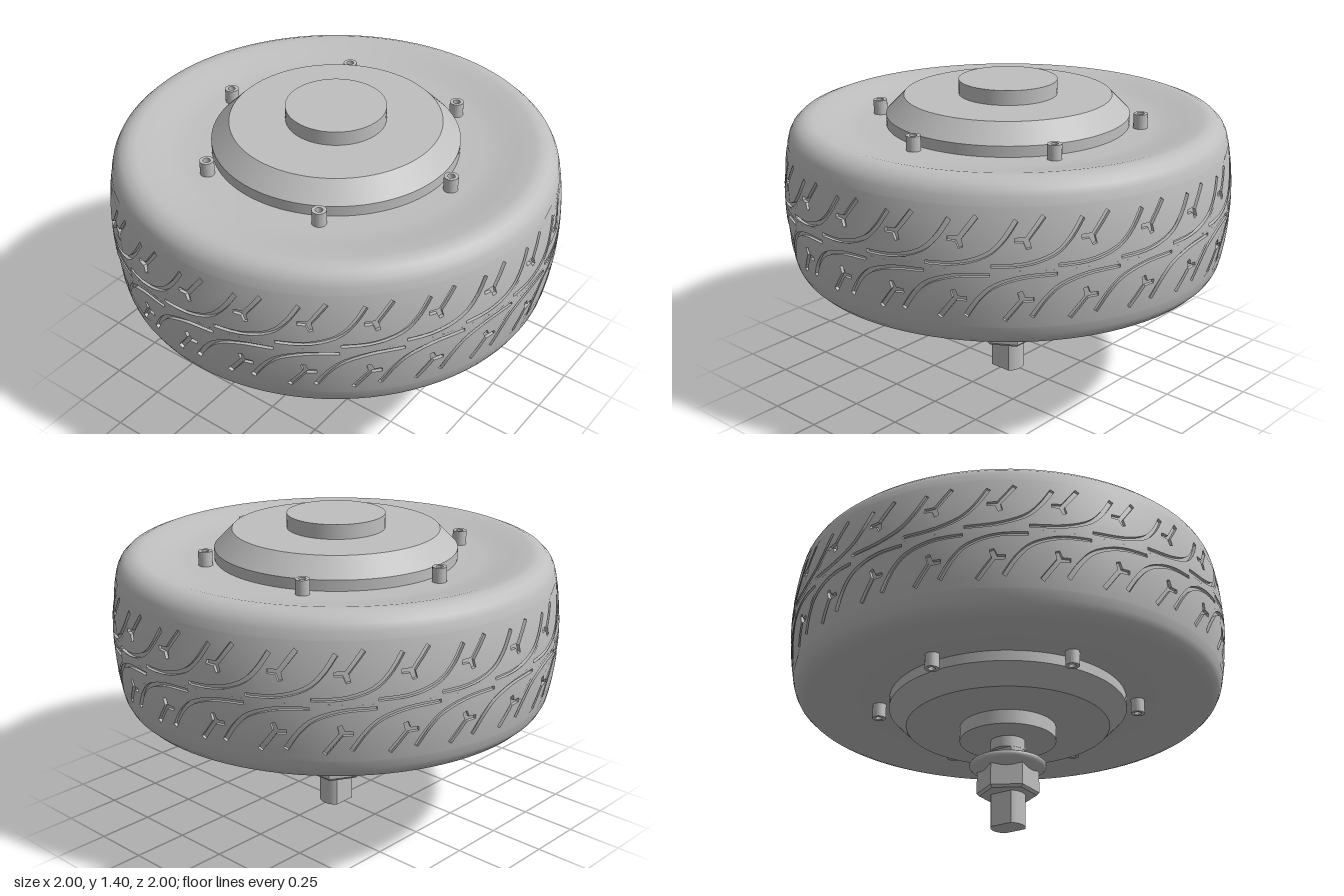
import * as THREE from 'three';
import { mergeGeometries } from 'three/addons/utils/BufferGeometryUtils.js';

const MID = 0.905;              // height of the wheel's mid plane
const REPEATS = 24;
const PITCH = (Math.PI * 2) / REPEATS;
const GROOVE_DEPTH = 0.014;
const TREAD_TOP = 0.25;

const V = (x, y) => new THREE.Vector2(x, y);
const treadRadius = (y) => 1 - 0.4 * y * y;

// Wrap a point of the unrolled tread (angle, height) onto the tyre
const wrap = (u, y, depth = 0) => {
  const r = treadRadius(y) - depth;
  return [r * Math.sin(u), y, r * Math.cos(u)];
};

// Wrap a flat shape onto the tyre with smooth normals
function wrapShape(shape, depth) {
  const g = new THREE.ShapeGeometry(shape).toNonIndexed();
  g.deleteAttribute('uv');
  const p = g.attributes.position, n = g.attributes.normal;
  for (let i = 0; i < p.count; i++) {
    const u = p.getX(i), y = p.getY(i);
    const k = 1 / Math.hypot(1, 0.8 * y);
    p.setXYZ(i, ...wrap(u, y, depth));
    n.setXYZ(i, Math.sin(u) * k, 0.8 * y * k, Math.cos(u) * k);
  }
  return g;
}

// Side walls of a groove
function grooveWalls(loop) {
  const pos = [];
  loop.forEach((a, i) => {
    const b = loop[(i + 1) % loop.length];
    const aT = wrap(a.x, a.y), bT = wrap(b.x, b.y);
    const aB = wrap(a.x, a.y, GROOVE_DEPTH), bB = wrap(b.x, b.y, GROOVE_DEPTH);
    pos.push(...aT, ...bT, ...bB, ...aT, ...bB, ...aB);
  });
  const g = new THREE.BufferGeometry();
  g.setAttribute('position', new THREE.Float32BufferAttribute(pos, 3));
  g.computeVertexNormals();
  return g;
}

// Outline of a curved groove that widens along its length
function ribbon(points, w0, w1, steps) {
  const curve = new THREE.SplineCurve(points);
  const low = [], high = [];
  for (let i = 0; i <= steps; i++) {
    const t = i / steps, p = curve.getPoint(t), d = curve.getTangent(t);
    const w = w0 + (w1 - w0) * t;
    low.push(V(p.x + d.y * w, p.y - d.x * w));
    high.unshift(V(p.x - d.y * w, p.y + d.x * w));
  }
  return [...low, ...high];
}

// One repeat of the upper half of the tread, with its recessed grooves
function treadTile() {
  const side = [[-0.16, 0], [-0.15, 0.03], [-0.1, 0.07], [-0.056, 0.115],
    [-0.03, 0.16], [0, 0.2], [0, TREAD_TOP]].map(([x, y]) => V(x, y));
  const outline = [];
  for (let i = 0; i < 6; i++) outline.push(V(-0.16 + (PITCH * i) / 6, 0));
  side.forEach((p) => outline.push(V(p.x + PITCH, p.y)));
  for (let i = 3; i > 0; i--) outline.push(V((PITCH * i) / 4, TREAD_TOP));
  side.slice(1).reverse().forEach((p) => outline.push(p));

  const sweep = ribbon([[-0.39, 0.018], [-0.26, 0.026], [-0.15, 0.062], [-0.085, 0.12], [-0.032, 0.2]]
    .map(([x, y]) => V(x + PITCH, y)), 0.007, 0.01, 14);
  const fork = [[-0.038, 0.132], [-0.038, 0.114], [-0.004, 0.114], [0.008, 0.086], [0.026, 0.092],
    [0.018, 0.122], [0.051, 0.165], [0.084, 0.208], [0.068, 0.22], [0.036, 0.177], [0.004, 0.134]]
    .map(([x, y]) => V(x, y));

  const shape = new THREE.Shape(outline);
  const parts = [];
  for (const loop of [sweep, fork]) {
    shape.holes.push(new THREE.Path(loop));
    parts.push(grooveWalls(loop), wrapShape(new THREE.Shape(loop), GROOVE_DEPTH));
  }
  parts.push(wrapShape(shape, 0));
  return mergeGeometries(parts);
}

export function createModel() {
  const grey = new THREE.MeshStandardMaterial({ color: 0xbfbfbf });
  grey.name = 'grey';
  const model = new THREE.Group();
  model.name = 'hubMotorWheel';

  const add = (parent, name, geometry, y = 0) => {
    const m = new THREE.Mesh(geometry, grey);
    m.name = name;
    m.position.y = y;
    parent.add(m);
    return m;
  };
  const drum = (parent, name, rTop, rBottom, y0, y1, sides = 64) =>
    add(parent, name, new THREE.CylinderGeometry(rTop, rBottom, y1 - y0, sides), (y0 + y1) / 2);

  // Shared geometry of the two wheel halves
  const tile = treadTile();
  const tread = mergeGeometries(Array.from({ length: REPEATS }, (_, i) => tile.clone().rotateY(i * PITCH)));
  const sidewall = new THREE.LatheGeometry([
    V(0.975, TREAD_TOP), V(0.966, 0.285), V(0.952, 0.312), V(0.928, 0.335), V(0.895, 0.348),
    V(0.86, 0.348), V(0.79, 0.333), V(0.72, 0.318), V(0.65, 0.308), V(0.5, 0.306),
  ], REPEATS * 4);
  const ring = new THREE.Shape().absarc(0, 0, 0.031, 0, Math.PI * 2);
  ring.holes.push(new THREE.Path().absarc(0, 0, 0.016, 0, Math.PI * 2));
  const boltRing = new THREE.ExtrudeGeometry(ring, { depth: 0.03, bevelEnabled: false, curveSegments: 10 })
    .rotateX(-Math.PI / 2);

  // Upper half and its turned-over twin
  for (const [name, turn] of [['upperHalf', 0], ['lowerHalf', Math.PI]]) {
    const half = new THREE.Group();
    half.name = name;
    half.position.y = MID;
    half.rotation.z = turn;
    model.add(half);
    add(half, 'tread', tread);
    add(half, 'sidewall', sidewall);
    drum(half, 'hubRim', 0.54, 0.54, 0.28, 0.354, 96);
    drum(half, 'hubCone', 0.46, 0.54, 0.354, 0.435, 96);
    drum(half, 'hubCap', 0.218, 0.218, 0.43, 0.5);
    for (let i = 0; i < 6; i++) {
      const bolt = new THREE.Group();
      bolt.name = 'bolt';
      const a = (i * Math.PI) / 3;
      bolt.position.set(0.59 * Math.cos(a), 0, 0.59 * Math.sin(a));
      half.add(bolt);
      drum(bolt, 'boltBase', 0.031, 0.031, 0.29, 0.342, 20);
      add(bolt, 'boltSocket', boltRing, 0.342);
    }
  }

  // Axle: round neck, then a shaft with two flats
  drum(model, 'axleNeck', 0.078, 0.078, 0.355, 0.42, 40);
  const flat = Math.acos(0.056 / 0.077);
  const section = new THREE.Shape();
  section.absarc(0, 0, 0.077, flat, Math.PI - flat);
  section.absarc(0, 0, 0.077, Math.PI + flat, Math.PI * 2 - flat);
  add(model, 'axleShaft', new THREE.ExtrudeGeometry(section,
    { depth: 0.36, bevelEnabled: false, curveSegments: 16 }).rotateX(-Math.PI / 2));

  // Flanged hex nut with a chamfered lower edge
  const hex = (name, rTop, rBottom, y0, y1) => {
    const g = new THREE.CylinderGeometry(rTop, rBottom, y1 - y0, 6).toNonIndexed();
    g.rotateY(Math.PI / 6);
    g.computeVertexNormals();
    add(model, name, g, (y0 + y1) / 2);
  };
  hex('nutBody', 0.139, 0.139, 0.16, 0.285);
  hex('nutChamfer', 0.139, 0.128, 0.148, 0.16);
  add(model, 'nutFlange', new THREE.LatheGeometry([
    V(0.11, 0.24), V(0.13, 0.256), V(0.162, 0.272), V(0.171, 0.281), V(0.172, 0.292), V(0.166, 0.3),
  ], 48));
  drum(model, 'nutFlangeTop', 0.158, 0.167, 0.298, 0.305, 48);

  return model;
}
